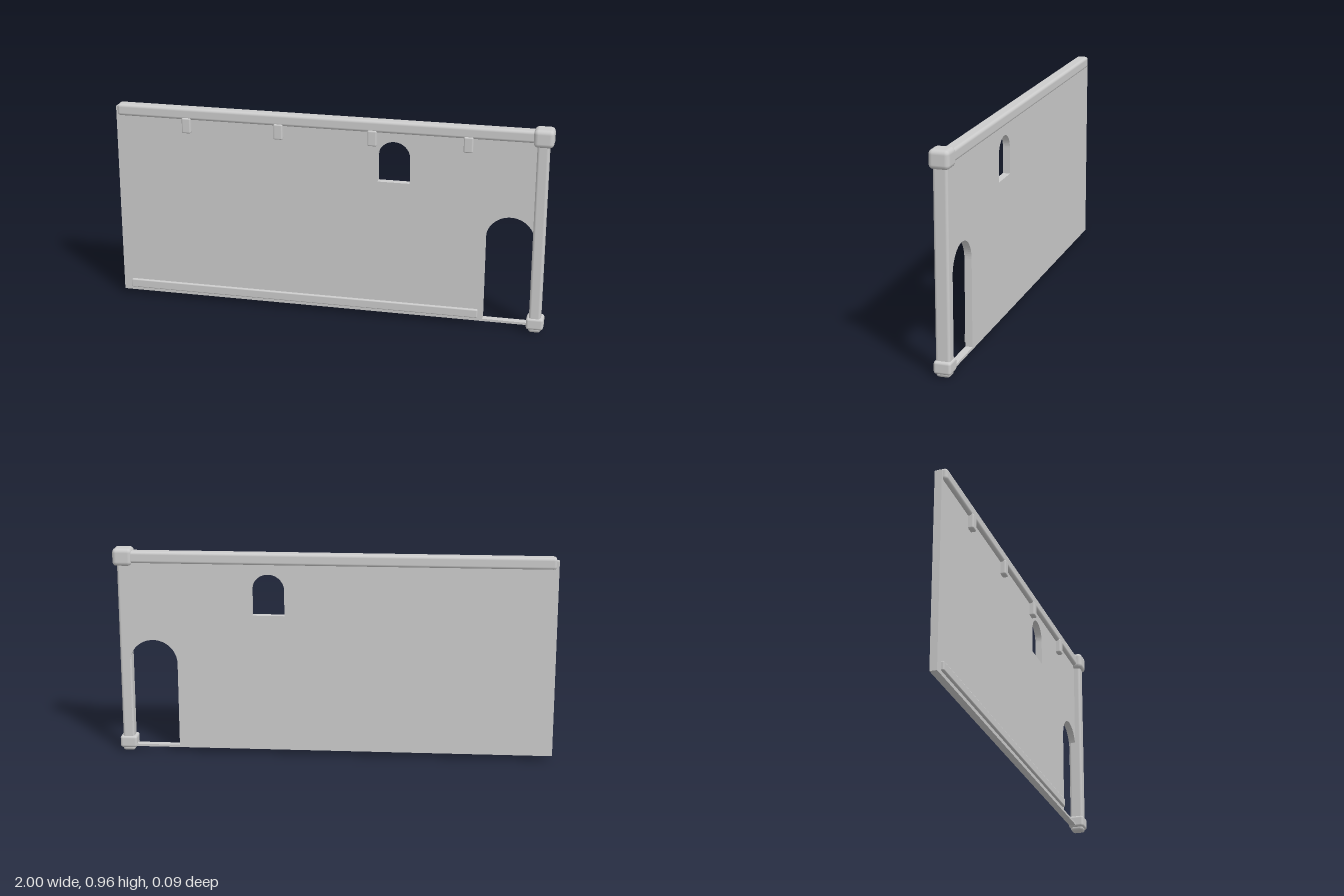
import * as THREE from 'three';
import { RoundedBoxGeometry } from 'three/addons/geometries/RoundedBoxGeometry.js';

export function createModel() {
  const model = new THREE.Group();
  model.name = 'wallSection';
  const plaster = new THREE.MeshStandardMaterial({ color: 0xcccccc });
  plaster.name = 'plainGrey';

  // Soft-edged block given by its extents on each axis
  function block(name, [x0, x1], [y0, y1], [z0, z1], radius) {
    const geometry = new RoundedBoxGeometry(x1 - x0, y1 - y0, z1 - z0, 2, radius);
    const mesh = new THREE.Mesh(geometry, plaster);
    mesh.name = name;
    mesh.position.set((x0 + x1) / 2, (y0 + y1) / 2, (z0 + z1) / 2);
    model.add(mesh);
  }

  // Round-headed opening: straight jambs under a half circle
  function archedHole(cx, bottom, spring, r) {
    const hole = new THREE.Path();
    hole.moveTo(cx - r, bottom);
    hole.lineTo(cx + r, bottom);
    hole.lineTo(cx + r, spring);
    hole.absarc(cx, spring, r, 0, Math.PI, false);
    hole.lineTo(cx - r, bottom);
    return hole;
  }

  // Wall panel with doorway and window
  const outline = new THREE.Shape();
  outline.moveTo(-1, 0.023);
  outline.lineTo(0.955, 0.023);
  outline.lineTo(0.955, 0.93);
  outline.lineTo(-1, 0.93);
  outline.closePath();
  outline.holes.push(
    archedHole(0.822, 0.034, 0.425, 0.11),
    archedHole(0.293, 0.658, 0.775, 0.073)
  );
  const wallGeometry = new THREE.ExtrudeGeometry(outline, {
    depth: 0.032, bevelEnabled: false, curveSegments: 16
  });
  const wall = new THREE.Mesh(wallGeometry, plaster);
  wall.name = 'wallPanel';
  wall.position.z = -0.031;
  model.add(wall);

  // Top rail and skirting strip
  block('topRail', [-0.99, 0.94], [0.89, 0.945], [-0.038, 0.02], 0.014);
  block('skirtingStrip', [-0.96, 0.69], [0.04, 0.08], [-0.01, 0.014], 0.005);

  // Brackets under the rail
  for (let i = 0; i < 4; i++) {
    const x = -0.661 + i * 0.4287;
    block('railBracket', [x - 0.021, x + 0.021], [0.828, 0.9], [-0.015, 0.025], 0.007);
  }

  // Corner post with cap, base and foot
  block('cornerPost', [0.924, 0.977], [0.03, 0.92], [-0.031, 0.032], 0.012);
  block('postCap', [0.907, 0.996], [0.877, 0.958], [-0.045, 0.045], 0.02);
  block('postBase', [0.912, 0.99], [0.016, 0.072], [-0.038, 0.038], 0.012);
  block('postFoot', [0.922, 0.98], [0, 0.045], [-0.031, 0.031], 0.014);

  return model;
}
